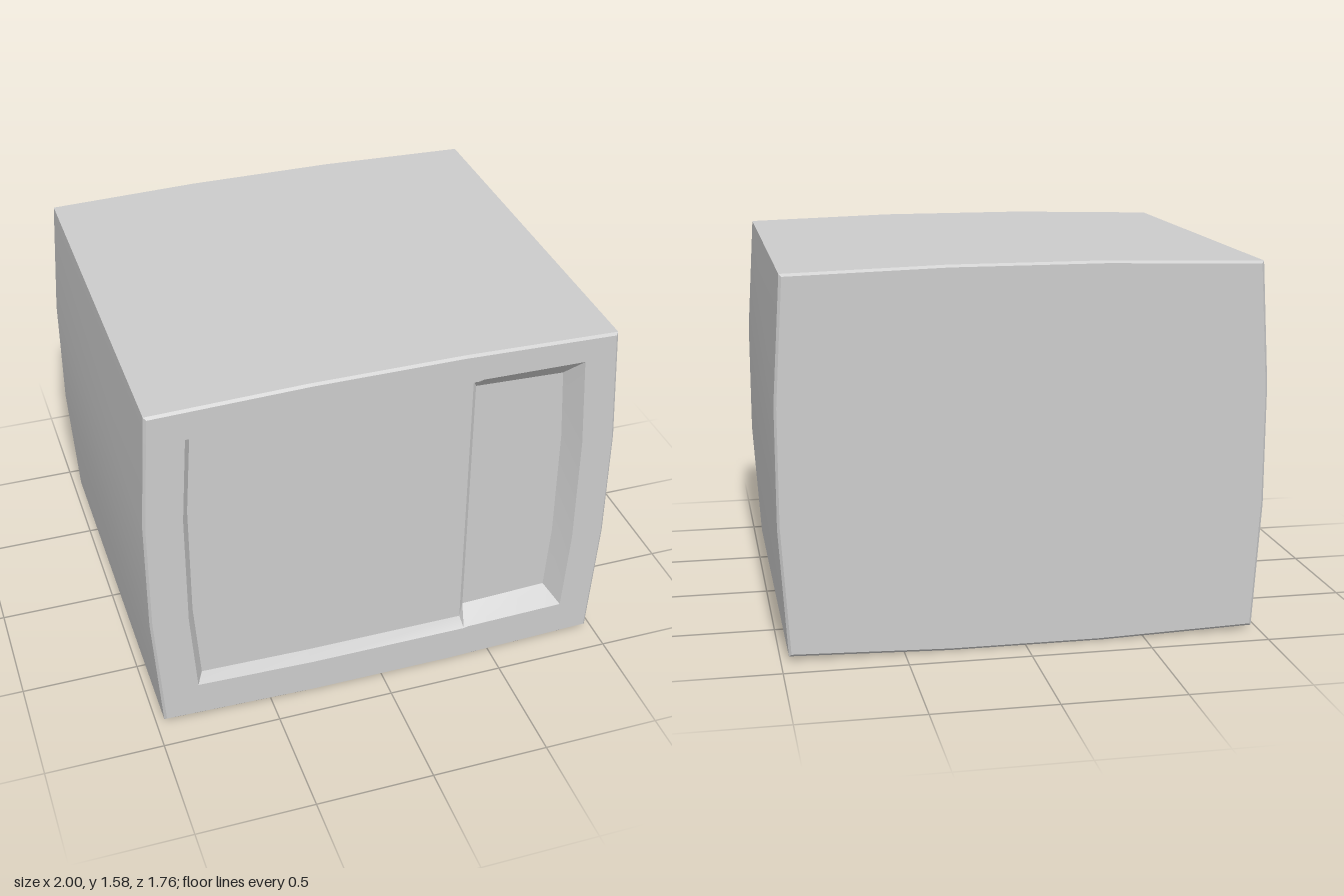
import * as THREE from 'three';
import { toCreasedNormals } from 'three/addons/utils/BufferGeometryUtils.js';

const FRONT = 0.88, SCREEN_Z = 0.825, PANEL_Z = 0.805, BEVEL = 0.01;
const material = new THREE.MeshStandardMaterial({ color: 0xcccccc });

function mesh(name, geometry) {
  const m = new THREE.Mesh(geometry, material);
  m.name = name;
  return m;
}

// Band of quads joining successive closed loops of [x, y, z] points
function loft(loops) {
  const pos = [];
  for (let k = 0; k < loops.length - 1; k++) {
    const a = loops[k], b = loops[k + 1], n = a.length;
    for (let i = 0; i < n; i++) {
      const j = (i + 1) % n;
      pos.push(...a[i], ...a[j], ...b[j], ...a[i], ...b[j], ...b[i]);
    }
  }
  const g = new THREE.BufferGeometry();
  g.setAttribute('position', new THREE.Float32BufferAttribute(pos, 3));
  return toCreasedNormals(g, 0.4);
}

const toVec = (loop) => loop.map(([x, y]) => new THREE.Vector2(x, y));

// Flat polygon at depth z, optionally with a hole
function flat(loop, z, hole) {
  const s = new THREE.Shape(toVec(loop));
  if (hole) s.holes.push(new THREE.Path(toVec(hole)));
  return new THREE.ShapeGeometry(s).translate(0, 0, z);
}

export function createModel() {
  const group = new THREE.Group();

  // Bulging cabinet outline, counter-clockwise from the front
  const outline = [
    [-0.32, 0], [0.32, 0], [0.967, 0.02], [1, 0.55], [1, 1.05], [0.967, 1.56],
    [0.32, 1.578], [-0.32, 1.578], [-0.967, 1.56], [-1, 1.05], [-1, 0.55], [-0.967, 0.02],
  ];
  const ring = (inset, z) => outline.map(([x, y]) =>
    [x - Math.sign(x) * inset, y - Math.sign(y - 0.79) * inset, z]);

  // Edge of the opening on the front face
  const opening = [
    [-0.32, 0.165], [0.375, 0.165], [0.395, 0.17], [0.83, 0.18], [0.855, 0.55], [0.855, 1.05],
    [0.83, 1.45], [0.395, 1.455], [0.375, 1.45], [-0.32, 1.448], [-0.815, 1.432],
    [-0.84, 1.05], [-0.84, 0.55], [-0.815, 0.18],
  ].map(([x, y]) => [x, y, FRONT]);

  // Foot of the sloping recess walls: the panel side sits deeper than the screen
  const foot = [
    [-0.32, 0.19], [0.375, 0.19], [0.395, 0.24], [0.775, 0.255], [0.795, 0.55], [0.795, 1.05],
    [0.775, 1.365], [0.395, 1.378], [0.375, 1.42], [-0.32, 1.42], [-0.785, 1.412],
    [-0.81, 1.05], [-0.81, 0.55], [-0.785, 0.2],
  ].map(([x, y], i) => [x, y, i >= 2 && i <= 7 ? PANEL_Z : SCREEN_Z]);

  // Cabinet shell with finely bevelled edges, back and front frame
  group.add(mesh('cabinetShell', loft([
    ring(BEVEL, -FRONT), ring(0, -FRONT + BEVEL), ring(0, FRONT - BEVEL), ring(BEVEL, FRONT),
  ])));
  group.add(mesh('backPanel', flat(ring(BEVEL, 0), FRONT, null).rotateY(Math.PI)));
  group.add(mesh('frontFrame', flat(ring(BEVEL, 0), FRONT, opening)));

  // Recess walls, screen, control panel and the step between them
  group.add(mesh('recessWalls', loft([opening, foot])));
  group.add(mesh('screen', flat([...foot.slice(8), ...foot.slice(0, 2)], SCREEN_Z)));
  group.add(mesh('controlPanel', flat(foot.slice(2, 8), PANEL_Z)));
  const step = new THREE.BufferGeometry();
  step.setAttribute('position', new THREE.Float32BufferAttribute(
    [8, 1, 2, 8, 2, 7].flatMap((i) => foot[i]), 3));
  step.computeVertexNormals();
  group.add(mesh('panelStep', step));

  return group;
}
